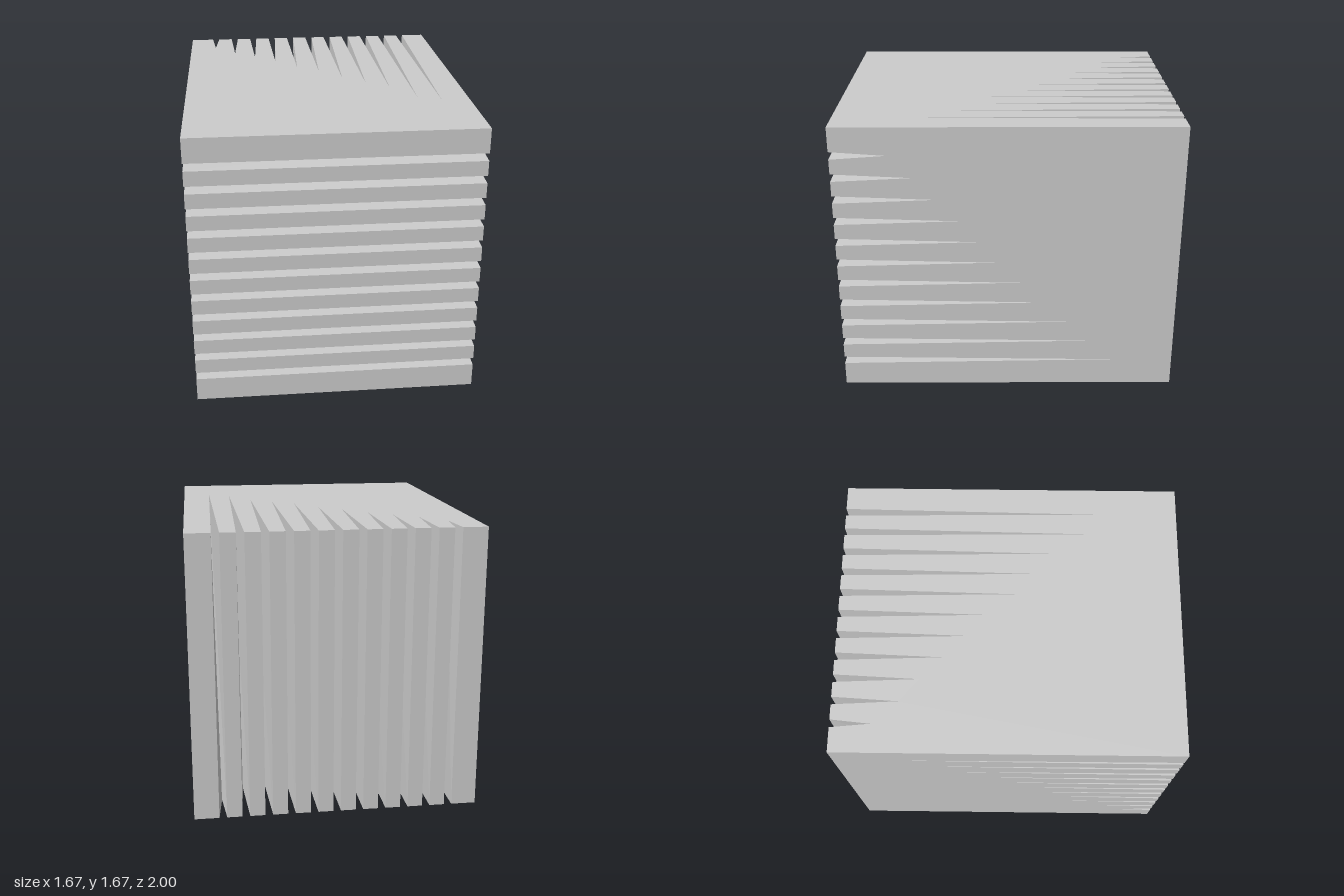
import * as THREE from 'three';

const H = 0.8333;       // half width and half height of the block
const PITCH = 0.1333;   // spacing of the slots
const HALF_SLOT = 0.0225; // half the slot width at its mouth

// Toothed edge of one slotted face: u runs across the slots, v is depth (1 = mouth)
function toothedEdge(tips) {
  const mid = (tips.length - 1) / 2;
  const points = [new THREE.Vector2(-H, 1)];
  tips.forEach((tip, i) => {
    const c = (i - mid) * PITCH;
    points.push(
      new THREE.Vector2(c - HALF_SLOT, 1),
      new THREE.Vector2(c, tip),
      new THREE.Vector2(c + HALF_SLOT, 1));
  });
  points.push(new THREE.Vector2(H, 1));
  return points;
}

// Flat wall of the block, notched where the slots run out
function notchedWall(tips) {
  const outline = [new THREE.Vector2(H, -1), new THREE.Vector2(-H, -1), ...toothedEdge(tips)];
  return new THREE.ShapeGeometry(new THREE.Shape(outline)).translate(0, 0, H);
}

// Slat fronts and V-shaped slot walls; each slot's depth slopes from end to end
function slattedFace(tips) {
  const near = toothedEdge(tips);
  const far = toothedEdge([...tips].reverse());
  const positions = [];
  for (let k = 0; k < near.length - 1; k++) {
    const a = [far[k].x, far[k].y, -H];
    const b = [near[k].x, near[k].y, H];
    const c = [near[k + 1].x, near[k + 1].y, H];
    const d = [far[k + 1].x, far[k + 1].y, -H];
    positions.push(...a, ...b, ...c, ...a, ...c, ...d);
  }
  const geometry = new THREE.BufferGeometry();
  geometry.setAttribute('position', new THREE.Float32BufferAttribute(positions, 3));
  geometry.computeVertexNormals();
  return geometry;
}

export function createModel() {
  const group = new THREE.Group();
  group.name = 'slottedBlock';
  const material = new THREE.MeshStandardMaterial({ color: 0xcccccc, flatShading: true });

  // One slotted face with the two opposite walls its slots cut through
  function addSlotSet(faceName, wallNames, tips, u, v, w) {
    const basis = new THREE.Matrix4().makeBasis(u, v, w).setPosition(0, H, 0);
    const add = (name, geometry) => {
      const mesh = new THREE.Mesh(geometry.applyMatrix4(basis), material);
      mesh.name = name;
      group.add(mesh);
    };
    add(faceName, slattedFace(tips));
    add(wallNames[0], notchedWall(tips));
    add(wallNames[1], notchedWall(tips).rotateY(Math.PI));
  }

  const X = new THREE.Vector3(1, 0, 0);
  const Y = new THREE.Vector3(0, 1, 0);
  const Z = new THREE.Vector3(0, 0, 1);

  // Horizontal slots entering from the front, open to both sides
  addSlotSet('frontSlats', ['leftWall', 'rightWall'],
    [-0.65, -0.515, -0.36, -0.21, -0.07, 0.06, 0.17, 0.285, 0.41, 0.54, 0.68], Y, Z, X);

  // Vertical slots entering from the back, open to top and bottom
  addSlotSet('backSlats', ['topWall', 'bottomWall'],
    [0.77, 0.62, 0.51, 0.375, 0.235, 0.14, -0.03, -0.145, -0.25, -0.445, -0.515],
    X, Z.clone().negate(), Y);

  return group;
}
